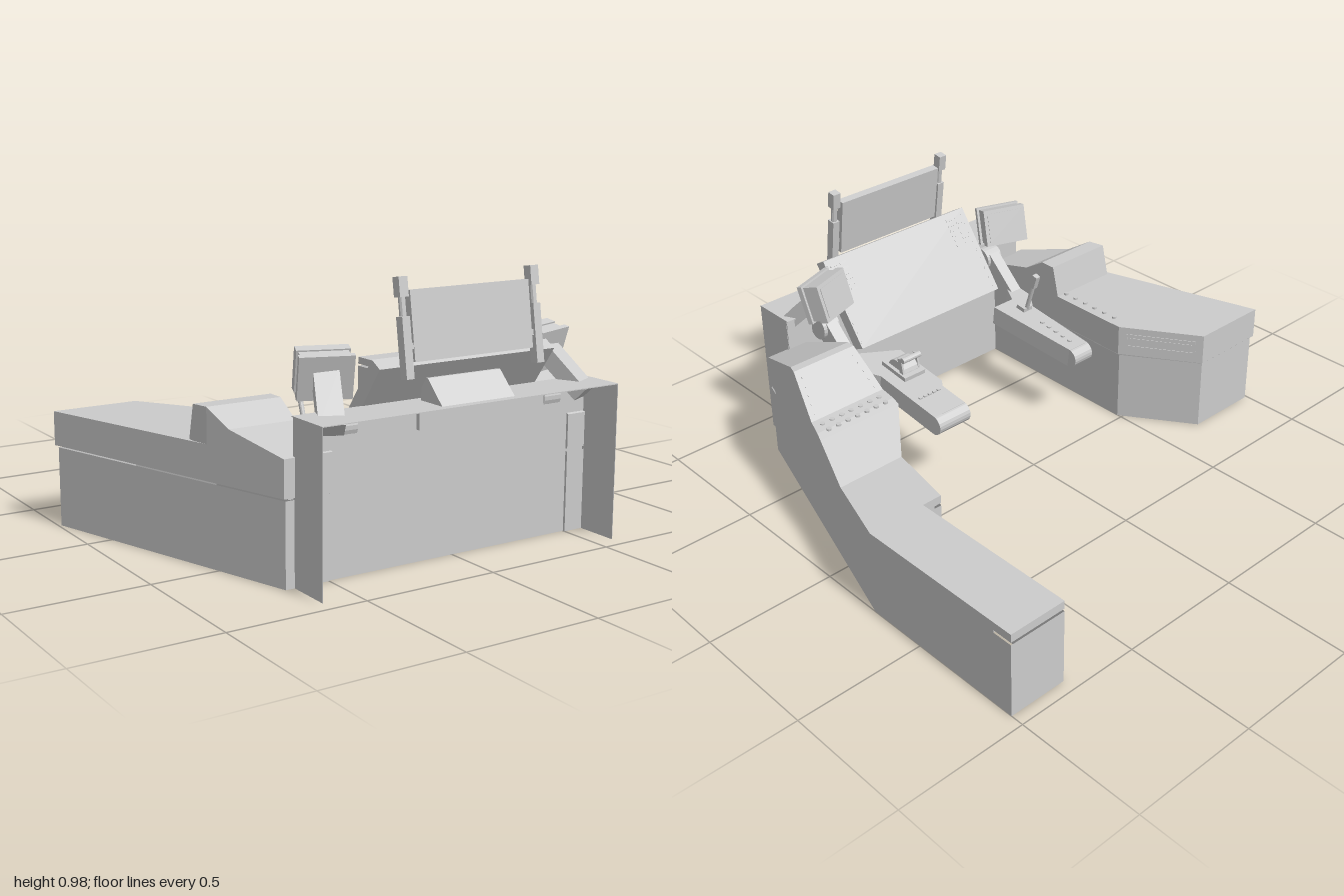
import * as THREE from 'three';

const material = new THREE.MeshStandardMaterial({ color: 0xcccccc, flatShading: true, side: THREE.DoubleSide });

function add(parent, name, geometry, x = 0, y = 0, z = 0, rx = 0, ry = 0, rz = 0) {
  const mesh = new THREE.Mesh(geometry, material);
  mesh.name = name;
  mesh.position.set(x, y, z);
  mesh.rotation.set(rx, ry, rz);
  parent.add(mesh);
  return mesh;
}
const box = (w, h, d) => new THREE.BoxGeometry(w, h, d);
const rod = (r, h, n = 16) => new THREE.CylinderGeometry(r, r, h, n);

// Shell through rectangular sections [z, xLow, xHigh, yLow, yHigh] in order of z.
// Faces: 0 bottom, 1 +x side, 2 top, 3 -x side; both ends are closed.
const SIDES = [1, 3], SIDES_AND_TOP = [1, 2, 3];
function loft(sections, faces) {
  const rings = sections.map(([z, a, b, c, d]) => [[a, c, z], [b, c, z], [b, d, z], [a, d, z]]);
  const pos = [];
  const quad = (p, q, r, s) => pos.push(...p, ...q, ...r, ...p, ...r, ...s);
  for (let k = 0; k < rings.length - 1; k++) {
    for (const i of faces) {
      const j = (i + 1) % 4;
      quad(rings[k][i], rings[k][j], rings[k + 1][j], rings[k + 1][i]);
    }
  }
  const f = rings[0], l = rings[rings.length - 1];
  quad(f[3], f[2], f[1], f[0]);
  quad(l[0], l[1], l[2], l[3]);
  const g = new THREE.BufferGeometry();
  g.setAttribute('position', new THREE.Float32BufferAttribute(pos, 3));
  g.computeVertexNormals();
  return g;
}

// Plan outline [x, z] raised from y0 to y1
function planPrism(points, y0, y1) {
  const shape = new THREE.Shape(points.map(([x, z]) => new THREE.Vector2(x, -z)));
  const g = new THREE.ExtrudeGeometry(shape, { depth: y1 - y0, bevelEnabled: false });
  return g.rotateX(-Math.PI / 2).translate(0, y0, 0);
}

// Side profile [z, y] spanning x0 to x1
function sidePrism(points, x0, x1) {
  const shape = new THREE.Shape(points.map(([z, y]) => new THREE.Vector2(-z, y)));
  const g = new THREE.ExtrudeGeometry(shape, { depth: x1 - x0, bevelEnabled: false });
  return g.rotateY(Math.PI / 2).translate(x0, 0, 0);
}

// Hollow console, open underneath
function leftConsole() {
  const g = new THREE.Group();
  g.name = 'leftConsole';
  const outer = z => (z < -0.26 ? 1 : 1 - 0.33 * (z + 0.26) / 1.045);
  // z, inner x, top y
  const plan = [[-0.95, 0.77, 0.337], [-0.26, 0.77, 0.337], [-0.26, 0.69, 0.337], [0.015, 0.64, 0.337],
    [0.2, 0.5, 0.415], [0.23, 0.5, 0.427], [0.29, 0.5, 0.437], [0.455, 0.5, 0.555], [0.49, 0.5, 0.555], [0.785, 0.5, 0.43]];
  add(g, 'consoleTop', loft(plan.map(([z, x, y]) => [z, x, outer(z), 0.305, y]), SIDES_AND_TOP));
  add(g, 'consoleBase', loft(plan.map(([z, x]) => [z, x, outer(z), 0, 0.295]), SIDES));
  add(g, 'shadowGap', loft(plan.map(([z, x]) => {
    const zi = THREE.MathUtils.clamp(z, -0.87, 0.73);
    return [zi, x + 0.03, outer(zi), 0.295, 0.305];
  }), SIDES));
  // Two rows of buttons
  for (let row = 0; row < 2; row++) {
    for (let i = 0; i < 7; i++) {
      add(g, 'button', rod(0.01, 0.008, 10), 0.54 + i * 0.043, 0.428 + row * 0.004, 0.225 + row * 0.038);
    }
  }
  // Studs up both edges of the raised panel
  for (let i = 0; i < 5; i++) {
    const t = 0.12 + i * 0.18, z = 0.29 + t * 0.165;
    for (const x of [0.525, outer(z) - 0.025]) add(g, 'stud', rod(0.004, 0.004, 8), x, 0.437 + t * 0.118, z, -0.62);
  }
  return g;
}

// Hollow console, open underneath
function rightConsole() {
  const g = new THREE.Group();
  g.name = 'rightConsole';
  const outer = z => -1 + 0.33 * (z + 0.265) / 1.05;
  const plan = [[-0.265, -0.68], [0.02, -0.49], [0.785, -0.49]];
  const layer = (inset, y0, y1, faces) => loft(plan.map(([z, x]) => {
    const zi = THREE.MathUtils.clamp(z, -0.265 + inset, 0.785 - inset / 2);
    return [zi, outer(zi) + inset, x - inset, y0, y1];
  }), faces);
  add(g, 'consoleTop', layer(0, 0.3, 0.425, SIDES_AND_TOP));
  add(g, 'consoleBase', layer(0.008, 0, 0.292, SIDES));
  add(g, 'shadowGap', layer(0.025, 0.292, 0.3, SIDES));
  // Raised hump at the front end
  const hump = [[0.37, 0.425], [0.4, 0.55], [0.465, 0.55], [0.56, 0.49], [0.785, 0.43]];
  add(g, 'raisedPanel', loft(hump.map(([z, y]) => [z, Math.max(outer(z), -0.785), -0.49, 0.42, y]), SIDES_AND_TOP));
  for (let i = 0; i < 6; i++) add(g, 'knob', rod(0.009, 0.01, 10), -0.53, 0.428, 0.085 + i * 0.055);
  // Framed vent on the angled inner face
  const vent = new THREE.Group();
  vent.name = 'sideVent';
  vent.position.set(-0.585, 0.367, -0.1225);
  vent.rotation.y = Math.atan2(0.285, -0.19);
  for (const s of [-1, 1]) {
    add(vent, 'ventRail', box(0.28, 0.007, 0.005), 0, s * 0.026, 0);
    add(vent, 'ventEnd', box(0.007, 0.055, 0.005), s * 0.137, 0, 0);
  }
  add(vent, 'ventSlat', box(0.25, 0.025, 0.004));
  g.add(vent);
  return g;
}

function frontDesk() {
  const g = new THREE.Group();
  g.name = 'frontDesk';
  // Wall, cover and two cheeks, open towards the front
  add(g, 'deskWall', box(1.207, 0.56, 0.004), -0.025, 0.28, 0.774);
  add(g, 'deskCover', box(1.21, 0.003, 0.18), -0.025, 0.559, 0.855);
  for (const x of [-0.629, 0.579]) add(g, 'deskCheek', box(0.002, 0.56, 0.17), x, 0.28, 0.86);
  add(g, 'frontHood', sidePrism([[0.8, 0.56], [0.8, 0.64], [0.835, 0.64], [0.915, 0.56]], -0.155, 0.145));
  add(g, 'frontTray', box(0.3, 0.065, 0.02), -0.005, 0.49, 0.782);

  // Sloping main panel
  add(g, 'mainPanel', sidePrism([[0.6, 0.42], [0.82, 0.72], [0.865, 0.695], [0.65, 0.395]], -0.365, 0.355));
  const tilt = -Math.atan2(0.3, 0.22);
  const onPanel = (name, geo, x, t) => add(g, name, geo, x, 0.42 + 0.3 * t, 0.6 + 0.22 * t, tilt);
  for (const side of [-1, 1]) {
    for (let i = 0; i < 6; i++) {
      for (const x of [0.275, 0.32]) onPanel('ventSlot', box(0.03, 0.004, 0.008), side * x, 0.62 + i * 0.06);
    }
    for (let i = 0; i < 9; i++) onPanel('panelStud', rod(0.004, 0.004, 8), side * 0.345, 0.06 + i * 0.11);
  }

  // Upright centre screen with a post at each side
  const screen = new THREE.Group();
  screen.name = 'centreScreen';
  screen.position.set(0, 0.82, 0.862);
  screen.rotation.x = -0.15;
  add(screen, 'screenPanel', box(0.485, 0.23, 0.032), -0.002, 0.003, -0.006);
  for (const x of [-0.272, 0.264]) {
    add(screen, 'postFoot', box(0.03, 0.2, 0.034), x, -0.064, 0);
    add(screen, 'postRod', rod(0.012, 0.14, 10), x, 0.07, 0);
    add(screen, 'postHead', box(0.034, 0.065, 0.034), x, 0.13, 0);
    add(screen, 'postBracket', box(0.05, 0.02, 0.016), x * 0.95, -0.06, 0);
  }
  g.add(screen);
  return g;
}

// Side monitor on a slanted bracket; s is the side
function sideMonitor(s) {
  const g = new THREE.Group();
  g.name = s > 0 ? 'leftMonitor' : 'rightMonitor';
  const head = new THREE.Group();
  head.name = 'monitorHead';
  head.position.set(s * 0.455, 0.665, 0.675);
  head.rotation.order = 'YXZ';
  head.rotation.set(-0.27, Math.PI + s * 0.34, 0);
  add(head, 'screenFrame', box(0.18, 0.15, 0.035), 0, 0, 0.03);
  add(head, 'screenGlass', box(0.15, 0.12, 0.006), 0, 0, 0.047);
  add(head, 'monitorBody', box(0.165, 0.14, 0.04), 0, 0, -0.005);
  add(head, 'monitorBack', box(0.185, 0.155, 0.02), 0, 0, -0.035);
  g.add(head);
  const bracket = add(g, 'monitorBracket', box(0.085, 0.06, 0.22), s * 0.493, 0.59, 0.765);
  bracket.lookAt(s * 0.455, 0.675, 0.685);
  return g;
}

// Armrest sloping down towards the seat from a pivot under the desk
function armrest(name, outline, s, endX, endWidth) {
  const g = new THREE.Group();
  g.name = name;
  add(g, 'armBody', planPrism(outline, 0.345, 0.425));
  add(g, 'armRoundEnd', rod(0.04, endWidth, 20), endX, 0.385, 0.105, 0, 0, Math.PI / 2);
  add(g, 'armLink', sidePrism([[0.55, 0.35], [0.55, 0.425], [0.7, 0.535], [0.745, 0.46], [0.62, 0.35]],
    s > 0 ? 0.4 : -0.455, s > 0 ? 0.45 : -0.405));
  add(g, 'armPivot', rod(0.047, 0.075, 20), s * 0.428, 0.5, 0.735, 0, 0, Math.PI / 2);
  // Tilt about the pivot
  const pivot = new THREE.Vector3(0, 0.5, 0.735);
  g.rotation.x = -0.12;
  g.position.copy(pivot).sub(pivot.clone().applyEuler(g.rotation));
  return g;
}

export function createModel() {
  const model = new THREE.Group();
  model.name = 'controlConsole';
  model.add(leftConsole(), rightConsole(), frontDesk(), sideMonitor(1), sideMonitor(-1));

  // Left armrest with lever quadrant
  const left = armrest('leftArmrest', [[0.25, 0.1], [0.4, 0.1], [0.4, 0.42], [0.45, 0.51], [0.45, 0.62],
    [0.4, 0.62], [0.38, 0.59], [0.23, 0.51], [0.23, 0.26], [0.25, 0.23]], 1, 0.325, 0.15);
  add(left, 'leverHousing', box(0.1, 0.02, 0.14), 0.3, 0.432, 0.405);
  add(left, 'leverDrum', rod(0.05, 0.07, 20), 0.3, 0.428, 0.405, 0, 0, Math.PI / 2);
  for (const x of [0.262, 0.338]) add(left, 'leverSide', box(0.008, 0.07, 0.02), x, 0.468, 0.375, 0.3);
  add(left, 'leverGrip', rod(0.012, 0.085, 12), 0.3, 0.503, 0.365, 0, 0, Math.PI / 2);
  for (let i = 0; i < 5; i++) add(left, 'armButton', box(0.014, 0.008, 0.01), 0.28 + i * 0.022, 0.427, 0.22);

  // Right armrest with stick
  const right = armrest('rightArmrest', [[-0.405, 0.1], [-0.31, 0.1], [-0.27, 0.51], [-0.37, 0.51], [-0.405, 0.58],
    [-0.41, 0.62], [-0.455, 0.62], [-0.455, 0.49], [-0.405, 0.42]], -1, -0.357, 0.095);
  add(right, 'stickBase', box(0.045, 0.02, 0.045), -0.365, 0.432, 0.43);
  add(right, 'stick', rod(0.009, 0.16, 12), -0.365, 0.51, 0.4, -0.2);
  add(right, 'stickGrip', box(0.022, 0.06, 0.024), -0.365, 0.582, 0.385, -0.2);
  for (let i = 0; i < 5; i++) add(right, 'armButton', rod(0.01, 0.008, 10), -0.355, 0.427, 0.15 + i * 0.04);

  model.add(left, right);
  return model;
}
